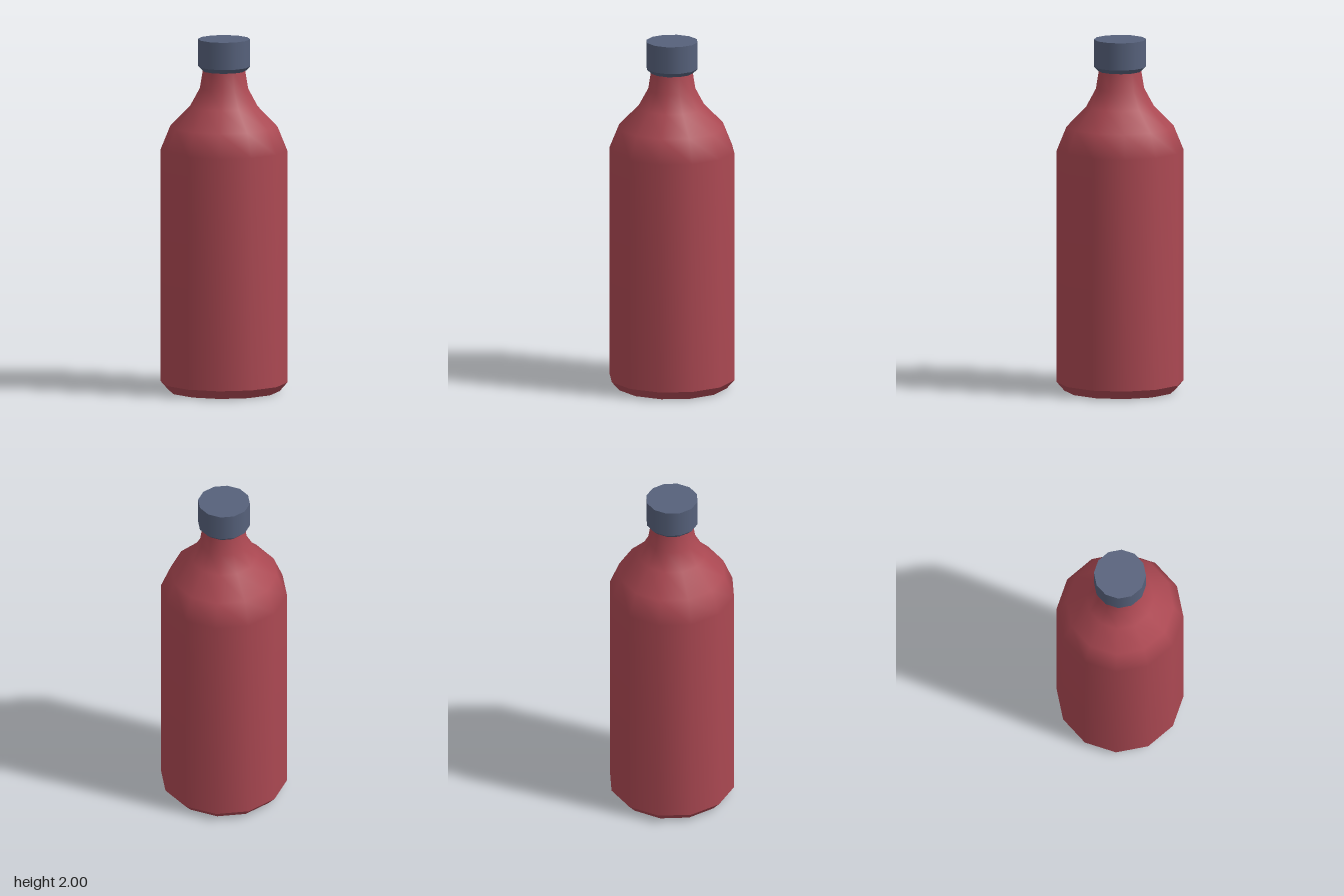
import * as THREE from 'three';

const SIDES = 12;
const START = THREE.MathUtils.degToRad(20.2); // turn of the twelve-sided outline

export function createModel() {
  const bottle = new THREE.Group();
  bottle.name = 'bottle';

  const material = (name, color) => {
    const m = new THREE.MeshStandardMaterial({ color });
    m.name = name;
    return m;
  };
  const red = material('red', 0xab4852);
  const slate = material('slate blue', 0x56617b);
  const purple = material('muted purple', 0x7a5f8a);

  // Each band is lathed on its own so its borders stay sharp
  const band = (name, mat, points) => {
    const profile = points.map(([r, y]) => new THREE.Vector2(r, y));
    const mesh = new THREE.Mesh(new THREE.LatheGeometry(profile, SIDES, START), mat);
    mesh.name = name;
    bottle.add(mesh);
  };

  // Body
  band('base', purple, [[0, 0], [0.313, 0]]);
  band('baseBevel', red, [[0.313, 0], [0.357, 0.05]]);
  band('body', red, [
    [0.357, 0.05], [0.357, 1.37], [0.302, 1.505], [0.19, 1.62],
    [0.136, 1.72], [0.119, 1.825],
  ]);

  // Cap
  band('capUnderside', slate, [[0.11, 1.82], [0.122, 1.82]]);
  band('capBevel', slate, [[0.122, 1.82], [0.147, 1.845]]);
  band('capSide', slate, [[0.147, 1.845], [0.147, 2]]);
  band('capTop', slate, [[0.147, 2], [0, 2]]);

  return bottle;
}
